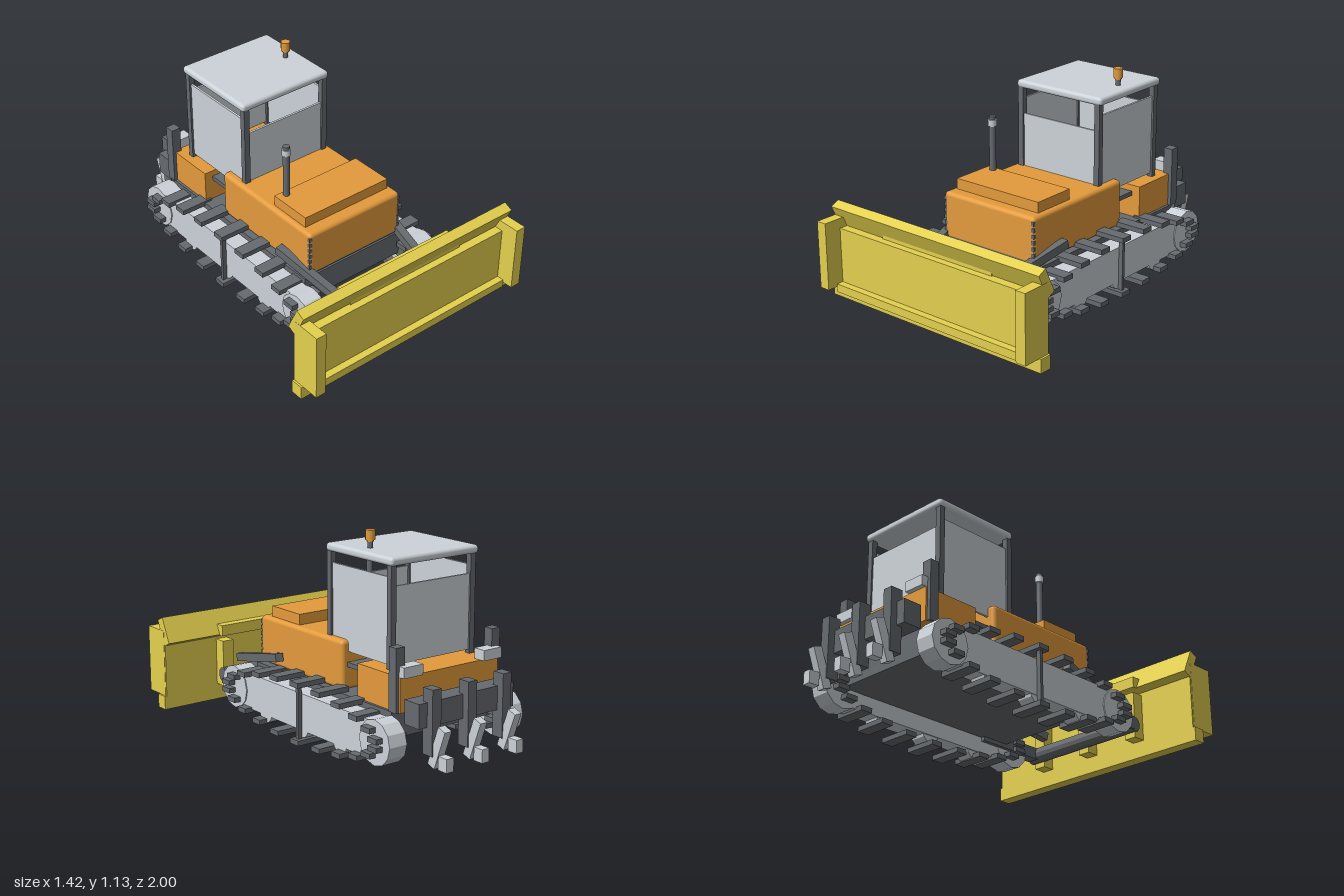
import * as THREE from 'three';
import { RoundedBoxGeometry } from 'three/addons/geometries/RoundedBoxGeometry.js';

const paint = (name, color) => Object.assign(new THREE.MeshStandardMaterial({ color }), { name });

export function createModel() {
  const yellow = paint('blade yellow', 0xe4d04e);
  const orange = paint('body orange', 0xe49b3c);
  const light = paint('light steel', 0xccd3d8);
  const dark = paint('dark steel', 0x666b6f);

  const model = new THREE.Group();
  model.name = 'bulldozer';

  const add = (name, geometry, material, x = 0, y = 0, z = 0) => {
    const mesh = new THREE.Mesh(geometry, material);
    mesh.name = name;
    mesh.position.set(x, y, z);
    model.add(mesh);
    return mesh;
  };
  // Box given by its limits on each axis
  const box = (name, material, [x0, x1], [y0, y1], [z0, z1], radius = 0) => {
    const w = x1 - x0, h = y1 - y0, d = z1 - z0;
    const geometry = radius ? new RoundedBoxGeometry(w, h, d, 3, radius) : new THREE.BoxGeometry(w, h, d);
    return add(name, geometry, material, (x0 + x1) / 2, (y0 + y1) / 2, (z0 + z1) / 2);
  };
  // The same box on both sides of the model
  const pair = (name, material, [x0, x1], ys, zs) => {
    box(name + 'Left', material, [x0, x1], ys, zs);
    box(name + 'Right', material, [-x1, -x0], ys, zs);
  };
  // Square bar between two points
  const bar = (name, material, a, b, size) => {
    const from = new THREE.Vector3(...a), to = new THREE.Vector3(...b);
    const mesh = add(name, new THREE.BoxGeometry(size, size, from.distanceTo(to)), material);
    mesh.position.copy(from).add(to).multiplyScalar(0.5);
    mesh.lookAt(to);
    return mesh;
  };
  // Faceted cylinder lying along x
  const axle = (name, material, radius, width, sides, x, y, z) => {
    const geometry = new THREE.CylinderGeometry(radius, radius, width, sides).rotateZ(Math.PI / 2).toNonIndexed();
    geometry.computeVertexNormals();
    return add(name, geometry, material, x, y, z);
  };

  // Chassis
  box('chassis', dark, [-0.335, 0.335], [0.16, 0.3], [-0.685, 0.47]);

  // Tracks: frame, wheels, rollers and shoes around an ellipse
  pair('trackFrame', light, [0.335, 0.435], [0.07, 0.268], [-0.685, 0.535]);
  pair('trackStrut', dark, [0.435, 0.46], [0.02, 0.32], [-0.084, -0.066]);
  for (const side of [-1, 1]) {
    const x = side * 0.387;
    for (const z of [0.535, -0.685]) axle('trackWheel', light, 0.118, 0.108, 12, x, 0.165, z);
    for (const z of [0.25, -0.075, -0.4]) axle('trackRoller', light, 0.055, 0.09, 12, x, 0.083, z);
    for (let i = 0; i < 22; i++) {
      const a = Math.PI / 2 + (i / 22) * Math.PI * 2;
      add('trackShoe', new THREE.BoxGeometry(0.19, 0.027, 0.07), dark,
        side * 0.385, 0.168 + 0.154 * Math.sin(a), -0.075 + 0.645 * Math.cos(a));
    }
  }

  // Engine hood with grille slats showing at its rounded corners
  box('hood', orange, [-0.305, 0.305], [0.3, 0.56], [-0.255, 0.47], 0.022);
  box('hoodCover', orange, [-0.275, 0.275], [0.55, 0.618], [0.15, 0.4]);
  for (let i = 0; i < 7; i++) {
    const y = 0.322 + i * 0.034;
    box('grilleSlat', dark, [-0.304, 0.304], [y - 0.011, y + 0.011], [0.44, 0.4695]);
  }

  // Exhaust
  add('exhaustPipe', new THREE.CylinderGeometry(0.018, 0.018, 0.3, 14), dark, -0.22, 0.765, 0.18);
  add('exhaustCollar', new THREE.CylinderGeometry(0.024, 0.024, 0.035, 14), light, -0.22, 0.88, 0.18);

  // Cab
  box('cabFloor', dark, [-0.27, 0.27], [0.42, 0.445], [-0.6, -0.1]);
  pair('frontPost', dark, [0.242, 0.275], [0.43, 1.01], [-0.125, -0.093]);
  pair('rearPost', dark, [0.242, 0.275], [0.43, 1.01], [-0.606, -0.574]);
  pair('sidePanel', light, [0.252, 0.264], [0.5, 0.94], [-0.58, -0.115]);
  box('frontPanel', light, [-0.245, 0.245], [0.5, 0.857], [-0.115, -0.103]);
  box('rearPanel', light, [-0.245, 0.245], [0.5, 0.896], [-0.597, -0.585]);
  box('roof', light, [-0.285, 0.285], [0.998, 1.042], [-0.62, -0.09], 0.018);
  add('beaconStem', new THREE.CylinderGeometry(0.014, 0.014, 0.045, 12), dark, 0.2, 1.06, -0.35);
  add('beaconBase', new THREE.CylinderGeometry(0.019, 0.019, 0.02, 14), orange, 0.2, 1.085, -0.35);
  add('beacon', new THREE.CylinderGeometry(0.025, 0.025, 0.052, 14), orange, 0.2, 1.109, -0.35);

  // Rear body, uprights and lamps
  box('rearBody', orange, [-0.32, 0.32], [0.3, 0.48], [-0.735, -0.4]);
  pair('rearUpright', dark, [0.285, 0.34], [0.3, 0.627], [-0.725, -0.67]);
  pair('rearLamp', light, [0.2, 0.32], [0.48, 0.535], [-0.762, -0.69]);

  // Ripper
  box('ripperMount', dark, [-0.2, 0.2], [0.3, 0.36], [-0.77, -0.72]);
  box('ripperBeam', dark, [-0.31, 0.31], [0.25, 0.375], [-0.862, -0.755]);
  for (const x of [-0.23, 0, 0.23]) {
    box('ripperShank', dark, [x - 0.028, x + 0.028], [0.11, 0.445], [-0.9, -0.83]);
    add('ripperTooth', new THREE.BoxGeometry(0.044, 0.215, 0.052), light, x, 0.16, -0.922).rotation.x = -0.35;
    box('ripperTip', light, [x - 0.023, x + 0.023], [0.055, 0.125], [-1, -0.94]);
  }

  // Push frame and lift rams
  axle('pushCrossbar', dark, 0.043, 0.75, 12, 0, 0.17, 0.748);
  for (const s of [-1, 1]) {
    bar('pushArm', dark, [s * 0.345, 0.17, 0.74], [s * 0.345, 0.17, 0.3], 0.065);
    bar('liftRam', dark, [s * 0.265, 0.26, 0.74], [s * 0.335, 0.37, 0.255], 0.045);
  }

  // Blade
  box('bladePlate', yellow, [-0.695, 0.695], [0.055, 0.4], [0.83, 0.9]);
  box('bladeLedge', yellow, [-0.64, 0.64], [0.055, 0.1], [0.83, 0.94]);
  box('cuttingEdge', yellow, [-0.708, 0.708], [0.01, 0.085], [0.83, 0.9]);
  pair('bladeEnd', yellow, [0.638, 0.697], [0.085, 0.455], [0.84, 1]);
  add('bladeTop', new THREE.BoxGeometry(1.392, 0.15, 0.055), yellow, 0, 0.45, 0.844).rotation.x = 0.44;
  box('bladeRearBeam', yellow, [-0.368, 0.368], [0.39, 0.45], [0.76, 0.86]);
  for (const x of [-0.33, 0, 0.33]) box('bladeRib', yellow, [x - 0.035, x + 0.035], [0.1, 0.36], [0.76, 0.84]);

  return model;
}
